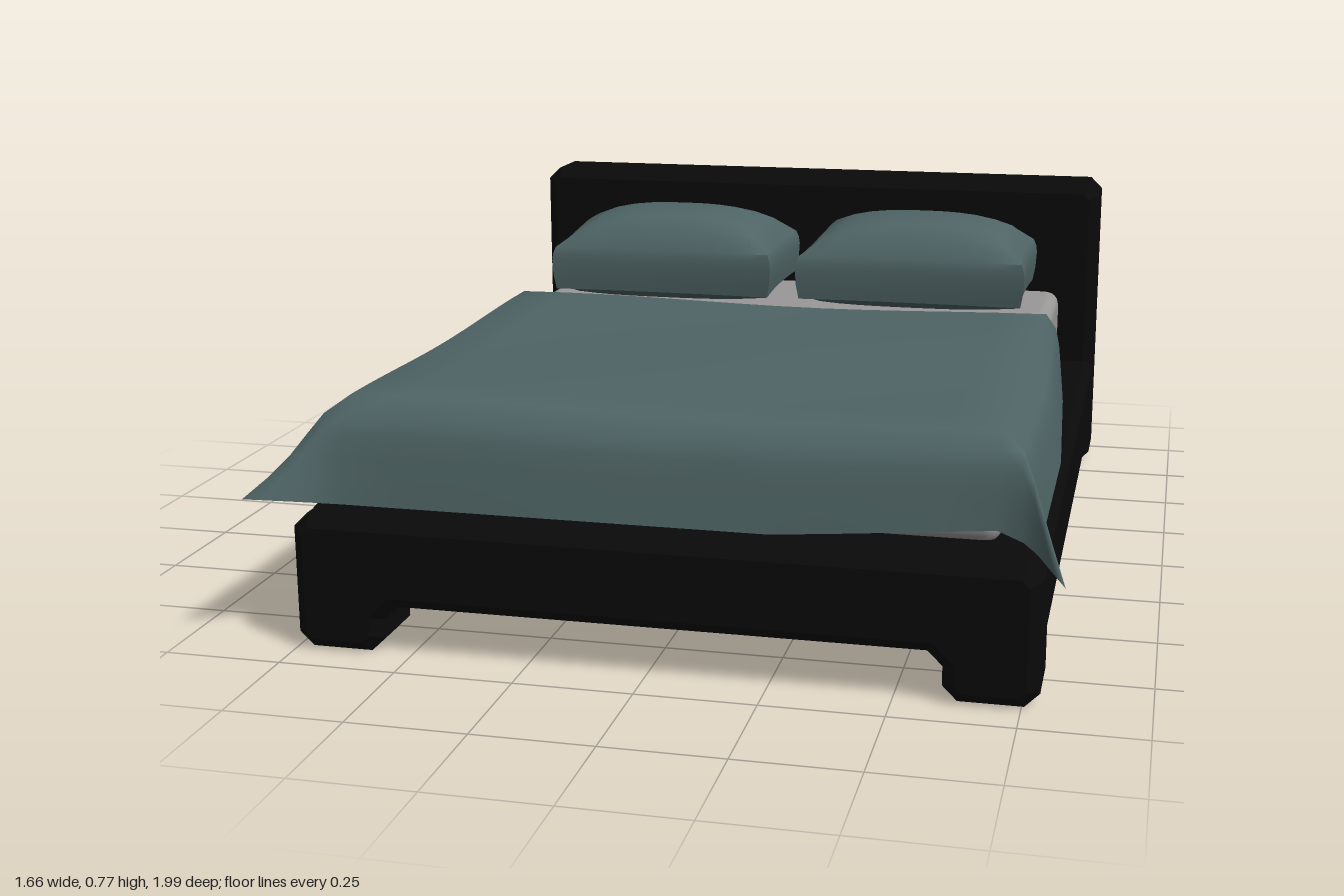
import * as THREE from 'three';
import { toCreasedNormals } from 'three/addons/utils/BufferGeometryUtils.js';
import { RoundedBoxGeometry } from 'three/addons/geometries/RoundedBoxGeometry.js';

const LEFT = -0.75, RIGHT = 0.785, MID = (LEFT + RIGHT) / 2;

export function createModel() {
  const bed = new THREE.Group();
  bed.name = 'bed';
  const black = new THREE.MeshStandardMaterial({ color: 0x0a0a0a });
  black.name = 'blackFrame';
  const teal = new THREE.MeshStandardMaterial({ color: 0x4f6465, side: THREE.DoubleSide });
  teal.name = 'tealFabric';
  const grey = new THREE.MeshStandardMaterial({ color: 0x9a9797 });
  grey.name = 'greyMattress';

  function add(parent, name, geometry, material) {
    const mesh = new THREE.Mesh(geometry, material);
    mesh.name = name;
    parent.add(mesh);
    return mesh;
  }
  const polygon = (points) => new THREE.Shape(points.map(([x, y]) => new THREE.Vector2(x, y)));

  // Frame: end panels with chamfered legs, joined by a slab
  const frame = new THREE.Group();
  frame.name = 'frame';
  bed.add(frame);

  function endPanel(name, top, zBack, depth) {
    const c = 0.03, leg = 0.19, b = 0.025;
    const half = [[LEFT, top - c], [LEFT, c], [LEFT + c, 0], [LEFT + leg - c, 0],
      [LEFT + leg, c], [LEFT + leg, 0.07], [LEFT + leg + c, 0.1]];
    const mirrored = half.map(([x, y]) => [2 * MID - x, y]).reverse();
    const shape = polygon([[LEFT + c, top], ...half, ...mirrored, [RIGHT - c, top]]);
    const geometry = new THREE.ExtrudeGeometry(shape, {
      depth: depth - 2 * b, bevelSize: b, bevelThickness: b, bevelOffset: -b, bevelSegments: 1,
    });
    add(frame, name, geometry.translate(0, 0, zBack + b), black);
  }
  endPanel('headboard', 0.77, -1, 0.19);
  endPanel('footRail', 0.29, 0.735, 0.185);

  const slab = polygon([[LEFT, 0.12], [LEFT + 0.02, 0.1], [RIGHT - 0.02, 0.1], [RIGHT, 0.12],
    [RIGHT, 0.27], [RIGHT - 0.02, 0.29], [LEFT + 0.02, 0.29], [LEFT, 0.27]]);
  add(frame, 'baseSlab', new THREE.ExtrudeGeometry(slab, { depth: 1.66, bevelEnabled: false })
    .translate(0, 0, -0.86), black);

  // Sloped braces where the legs meet the slab
  for (const [z, dir] of [[0.735, -1], [-0.81, 1]]) {
    for (const x of [LEFT + 0.015, RIGHT - 0.19]) {
      const tri = polygon([[-z + 0.03 * dir, 0.065], [-z - 0.03 * dir, 0.105], [-z + 0.03 * dir, 0.105]]);
      const brace = new THREE.ExtrudeGeometry(tri, { depth: 0.175, bevelEnabled: false });
      add(frame, 'legBrace', brace.rotateY(Math.PI / 2).translate(x, 0, 0), black);
    }
  }

  // Mattress
  add(bed, 'mattress', new RoundedBoxGeometry(1.345, 0.205, 1.59, 2, 0.035)
    .translate(0.018, 0.383, -0.015), grey);

  add(bed, 'blanket', blanketGeometry(), teal);

  // Pillows
  for (const [name, x] of [['rightPillow', -0.303], ['leftPillow', 0.34]]) {
    const pillow = add(bed, name, pillowGeometry(0.58, 0.395), teal);
    pillow.position.set(x, 0.595, name === 'leftPillow' ? -0.563 : -0.557);
  }
  return bed;
}

// Puffed box: domed faces, slightly pinched sides and pointed corners
function pillowGeometry(width, depth) {
  const geometry = new THREE.BoxGeometry(2, 2, 2, 12, 4, 10);
  const p = geometry.attributes.position;
  for (let i = 0; i < p.count; i++) {
    const u = p.getX(i), v = p.getY(i), w = p.getZ(i);
    const dome = Math.sqrt((1 - Math.abs(u) ** 2.6) * (1 - Math.abs(w) ** 2.6));
    const thick = v > 0 ? 0.035 + 0.09 * dome : 0.075 + 0.03 * dome;
    const side = 1 - 0.03 * v * v;
    p.setXYZ(i,
      u * width / 2 * side * (1 - 0.025 * (1 - w * w)),
      v * thick,
      w * depth / 2 * side * (1 - 0.04 * (1 - u * u)));
  }
  return toCreasedNormals(geometry, 0.9);
}

// Cloth grid: flat top, draped on three sides, flaring at the two front corners
function blanketGeometry() {
  const x0 = -0.66, x1 = 0.69, z0 = -0.325, z1 = 0.78;
  const drape = [0.2, 0.4, 0.6, 0.8, 1];
  const columns = [], rows = [];
  for (const d of [...drape].reverse()) columns.push({ x: x0, d, s: -1 });
  for (let i = 0; i <= 12; i++) columns.push({ x: x0 + (x1 - x0) * i / 12, d: 0, s: 0 });
  for (const d of drape) columns.push({ x: x1, d, s: 1 });
  for (let j = 0; j <= 10; j++) rows.push({ z: z0 + (z1 - z0) * j / 10, e: 0 });
  for (const e of drape) rows.push({ z: z1, e });

  const outward = (t) => 0.04 * Math.sin(Math.min(t * 3, 1) * Math.PI / 2) + 0.04 * t;
  const positions = [], index = [];
  for (const { z, e } of rows) {
    const along = (z - z0) / (z1 - z0);
    for (const { x, d, s } of columns) {
      const flare = d * e;
      const spread = outward(d) * (0.6 + 0.4 * Math.min(1, along * 2));
      const ripple = 0.006 * Math.sin(x * 5 + 1) * Math.sin(z * 6);
      const lift = s < 0 ? 0.03 * flare : -0.02 * flare;
      const hem = 0.04 * e * Math.max(0, x - 0.25) / 0.44 * (1 - d);
      positions.push(
        x + s * (spread + flare * (s < 0 ? 0.09 : 0.06)),
        0.513 - 0.212 * Math.max(d, e) ** 1.15 + ripple * (1 - Math.max(d, e)) + lift + hem,
        z + outward(e) + flare * (s < 0 ? 0.1 : 0.13));
    }
  }
  const n = columns.length;
  for (let j = 0; j < rows.length - 1; j++) {
    for (let i = 0; i < n - 1; i++) {
      const a = j * n + i, b = a + 1, c = a + n, d = c + 1;
      if (i > n / 2) index.push(a, c, d, a, d, b);
      else index.push(a, c, b, b, c, d);
    }
  }
  const geometry = new THREE.BufferGeometry();
  geometry.setAttribute('position', new THREE.Float32BufferAttribute(positions, 3));
  geometry.setIndex(index);
  geometry.computeVertexNormals();
  return geometry;
}
